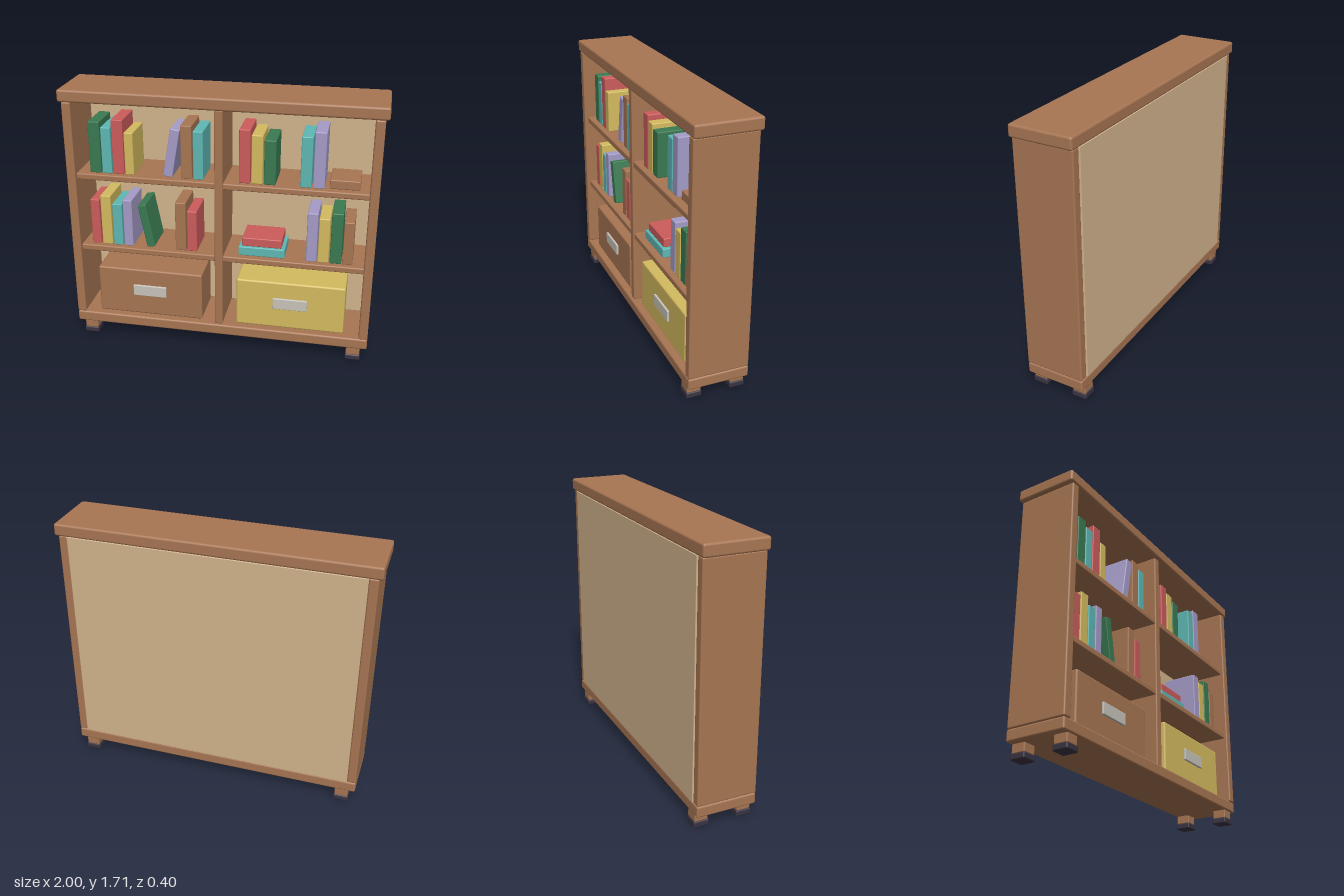
import * as THREE from 'three';
import { RoundedBoxGeometry } from 'three/addons/geometries/RoundedBoxGeometry.js';

const mat = (name, color) => Object.assign(new THREE.MeshStandardMaterial({ color }), { name });

export function createModel() {
  const wood = mat('wood brown', 0xa87653);
  const tan = mat('back panel tan', 0xd2b48c);
  const red = mat('book red', 0xcd5c5c);
  const teal = mat('book teal', 0x5fb8b4);
  const yellow = mat('mustard yellow', 0xd4bb60);
  const green = mat('book green', 0x3a7a52);
  const lavender = mat('book lavender', 0xa59cc8);
  const dark = mat('foot dark', 0x3a3442);
  const metal = mat('label pale grey', 0xc9c5bb);

  const model = new THREE.Group();
  model.name = 'bookcase';

  // Softly rounded block given by its extents on each axis
  function block(name, material, [x0, x1], [y0, y1], [z0, z1], radius = 0.008) {
    const geo = new RoundedBoxGeometry(x1 - x0, y1 - y0, z1 - z0, 2, radius);
    const mesh = new THREE.Mesh(geo, material);
    mesh.name = name;
    mesh.position.set((x0 + x1) / 2, (y0 + y1) / 2, (z0 + z1) / 2);
    model.add(mesh);
    return mesh;
  }

  // Carcass
  block('topBoard', wood, [-1, 1], [1.632, 1.71], [-0.2, 0.2], 0.014);
  block('baseBoard', wood, [-0.977, 0.977], [0.09, 0.163], [-0.192, 0.195], 0.012);
  block('backPanel', tan, [-0.92, 0.92], [0.163, 1.632], [-0.196, -0.165], 0.004);
  block('divider', wood, [-0.026, 0.026], [0.163, 1.632], [-0.17, 0.178]);
  for (const s of [-1, 1]) {
    const span = (a, b) => (s > 0 ? [a, b] : [-b, -a]);
    block('sidePanel', wood, span(0.919, 0.977), [0.163, 1.632], [-0.19, 0.195], 0.01);

    // Shelves on each side of the divider
    for (const top of [0.664, 1.164]) {
      block('shelf', wood, span(0.024, 0.921), [top - 0.04, top], [-0.17, 0.172]);
    }

    // Feet with dark pads
    for (const z of [-0.14, 0.14]) {
      block('foot', wood, span(0.845, 0.932), [0.036, 0.094], [z - 0.044, z + 0.044], 0.006);
      block('footPad', dark, span(0.84, 0.937), [0, 0.038], [z - 0.049, z + 0.049], 0.008);
    }
  }

  // Storage boxes with label plates
  for (const [x0, x1, material] of [[-0.824, -0.118, wood], [0.112, 0.818, yellow]]) {
    const c = (x0 + x1) / 2;
    block('storageBox', material, [x0, x1], [0.166, 0.498], [-0.14, 0.152], 0.012);
    block('boxLabel', metal, [c - 0.112, c + 0.112], [0.31, 0.386], [0.145, 0.165], 0.004);
  }

  // Upright books: left edge, right edge, top, colour
  const rows = [
    { floor: 1.164, books: [
      [-0.837, -0.763, 1.5, green], [-0.757, -0.693, 1.467, teal],
      [-0.686, -0.612, 1.521, red], [-0.607, -0.549, 1.441, yellow],
      [-0.246, -0.175, 1.51, wood], [-0.168, -0.104, 1.478, teal],
      [0.12, 0.19, 1.51, red], [0.196, 0.267, 1.478, yellow], [0.275, 0.348, 1.451, green],
      [0.498, 0.567, 1.488, teal], [0.575, 0.647, 1.521, lavender],
    ] },
    { floor: 0.664, books: [
      [-0.855, -0.794, 0.975, red], [-0.786, -0.717, 1.007, yellow],
      [-0.709, -0.645, 0.954, teal], [-0.637, -0.577, 0.986, lavender],
      [-0.291, -0.222, 0.997, wood], [-0.214, -0.15, 0.944, red],
      [0.553, 0.62, 0.997, lavender], [0.626, 0.695, 0.965, yellow],
      [0.703, 0.775, 1.007, green], [0.781, 0.845, 0.954, wood],
    ] },
  ];
  for (const { floor, books } of rows) {
    for (const [x0, x1, top, material] of books) {
      block('book', material, [x0, x1], [floor, top], [-0.095, 0.137], 0.006);
    }
  }

  // Leaning books: centre, width, height, tilt
  for (const [x, y, w, h, tilt, material] of [
    [-0.305, 1.326, 0.06, 0.315, -0.17, lavender],
    [-0.484, 0.815, 0.053, 0.295, 0.19, green],
  ]) {
    block('leaningBook', material, [x - w / 2, x + w / 2], [y - h / 2, y + h / 2], [-0.09, 0.137], 0.006)
      .rotation.z = tilt;
  }

  // Books lying flat
  block('flatBook', teal, [0.12, 0.417], [0.664, 0.724], [-0.095, 0.13], 0.006);
  block('flatBook', red, [0.141, 0.396], [0.724, 0.782], [-0.09, 0.115], 0.006);
  block('flatBook', wood, [0.677, 0.861], [1.164, 1.222], [-0.085, 0.125], 0.006);

  return model;
}
